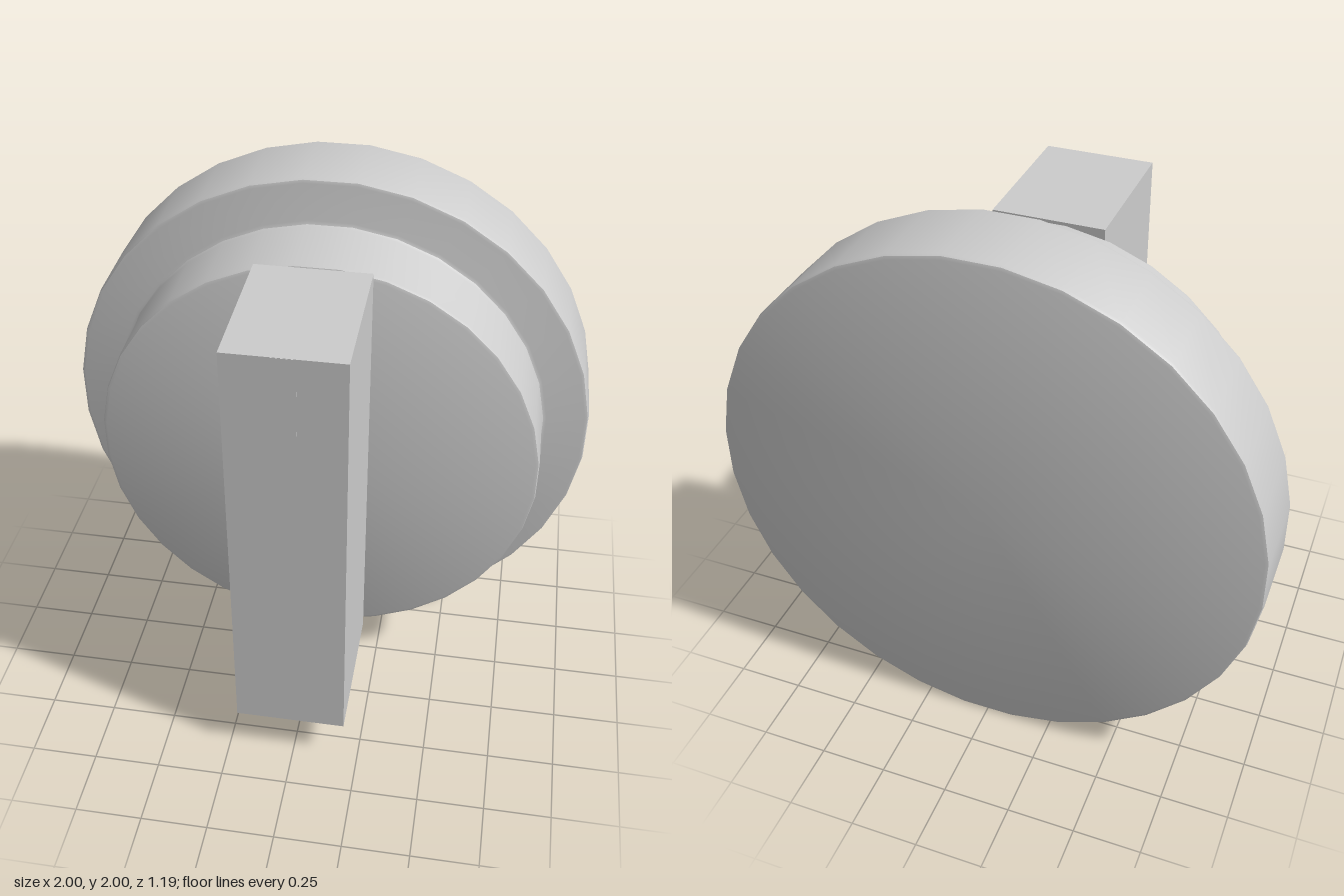
import * as THREE from 'three';
import { toCreasedNormals } from 'three/addons/utils/BufferGeometryUtils.js';

export function createModel() {
  const model = new THREE.Group();
  model.name = 'rotaryKnob';
  const grey = new THREE.MeshStandardMaterial({ color: 0xcccccc });
  grey.name = 'lightGrey';

  const SIDES = 32;
  const FLAT = 1 / Math.cos(Math.PI / SIDES); // makes the flats, not the corners, reach the radius

  function add(name, geometry, x, y, z) {
    const mesh = new THREE.Mesh(geometry, grey);
    mesh.name = name;
    mesh.position.set(x, y, z);
    model.add(mesh);
  }

  // Stepped dial: wide flange at the back, narrower drum in front, [radius, z]
  const profile = [
    [0, -0.595], [0.985, -0.595], [0.996, -0.591], [1, -0.58],
    [1, -0.282], [0.996, -0.271], [0.985, -0.267],
    [0.842, -0.267], [0.83, -0.262], [0.825, -0.25],
    [0.825, 0.015], [0.821, 0.026], [0.81, 0.03], [0, 0.03],
  ].map(([r, z]) => new THREE.Vector2(r * FLAT, z));
  const dial = new THREE.LatheGeometry(profile, SIDES, Math.PI / SIDES);
  dial.rotateX(Math.PI / 2);
  add('dial', toCreasedNormals(dial, 0.6), 0, 1, 0);

  // Grip bar across the face
  add('gripBar', new THREE.BoxGeometry(0.412, 1.65, 0.553), -0.01, 1, 0.3165);

  // Thin pointer mark at the top of the bar
  add('pointerMark', new THREE.BoxGeometry(0.08, 0.32, 0.004), -0.01, 1.664, 0.592);

  return model;
}
